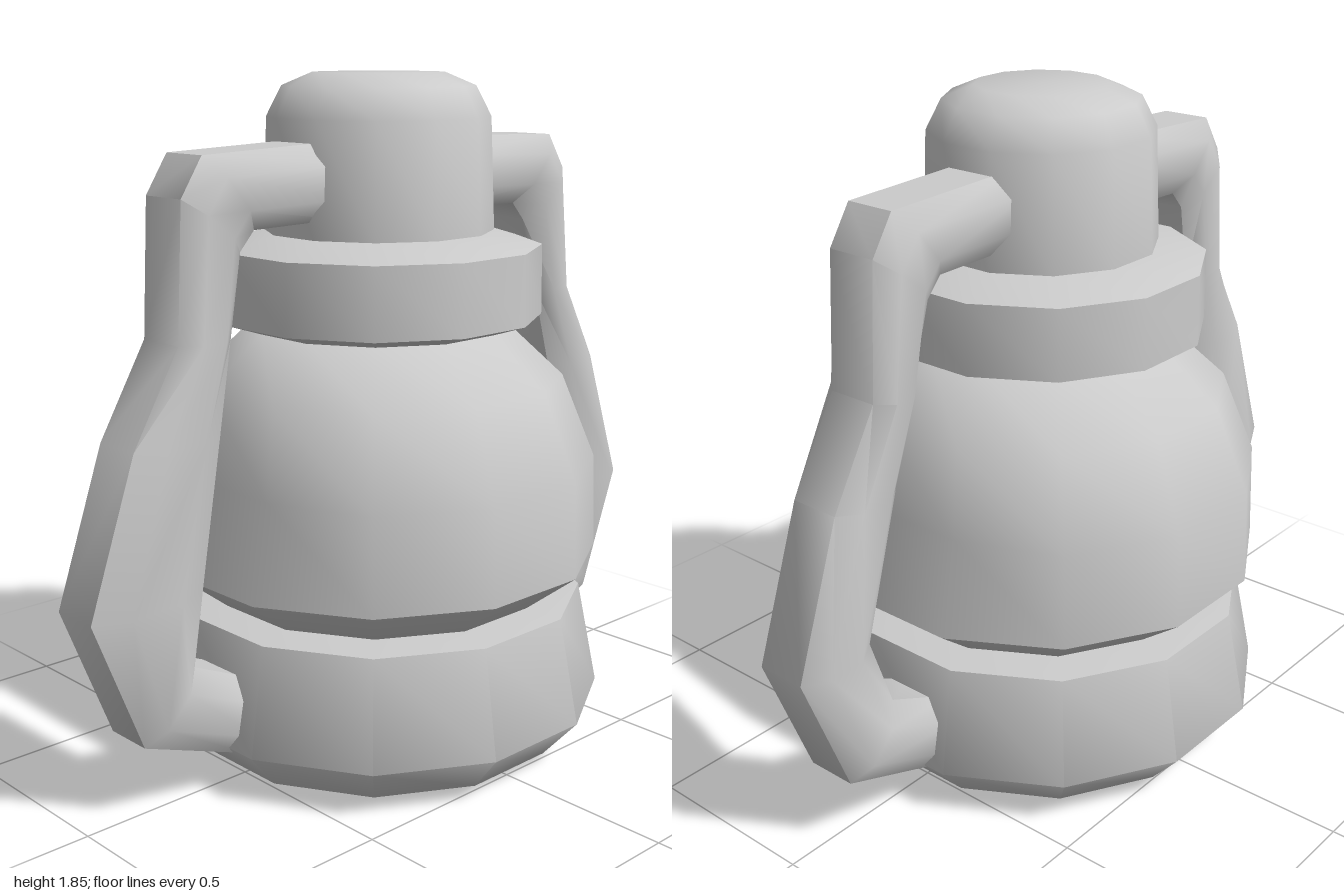
import * as THREE from 'three';
import { toCreasedNormals } from 'three/addons/utils/BufferGeometryUtils.js';

const material = new THREE.MeshStandardMaterial({ color: 0xcccccc });
const CREASE = 0.9;
const SIDES = 12;
// profiles are given at the flat sides, so scale out to the corners
const CORNER = 1 / Math.cos(Math.PI / SIDES);

function addMesh(group, name, geometry) {
  const mesh = new THREE.Mesh(toCreasedNormals(geometry, CREASE), material);
  mesh.name = name;
  group.add(mesh);
}

// twelve-sided turned part, profile listed from bottom to top
function turned(profile) {
  const points = profile.map(([r, y]) => new THREE.Vector2(r * CORNER, y));
  return new THREE.LatheGeometry(points, SIDES, Math.PI / SIDES);
}

// bar lofted through stations of [outer x, outer y, inner x, inner y]
function handleBar(side, stations) {
  // octagonal section: [position from inner (0) to outer (1), z]
  const section = [[1, 0.07], [0.72, 0.113], [0.28, 0.113], [0, 0.07],
    [0, -0.07], [0.28, -0.113], [0.72, -0.113], [1, -0.07]];
  const n = section.length;
  const positions = [];
  const index = [];
  stations.forEach(([ox, oy, ix, iy], s) => {
    for (const [t, z] of section) {
      positions.push(side * (ix + (ox - ix) * t), iy + (oy - iy) * t, z - 0.012);
    }
    if (s === 0) return;
    for (let k = 0; k < n; k++) {
      const a = (s - 1) * n + k, b = (s - 1) * n + (k + 1) % n;
      const c = a + n, d = b + n;
      if (side > 0) index.push(a, b, c, b, d, c);
      else index.push(a, c, b, b, c, d);
    }
  });
  // end caps
  const last = (stations.length - 1) * n;
  for (let k = 1; k < n - 1; k++) {
    if (side > 0) index.push(0, k + 1, k, last, last + k, last + k + 1);
    else index.push(0, k, k + 1, last, last + k + 1, last + k);
  }
  const geometry = new THREE.BufferGeometry();
  geometry.setAttribute('position', new THREE.Float32BufferAttribute(positions, 3));
  geometry.setIndex(index);
  return geometry;
}

export function createModel() {
  const lantern = new THREE.Group();
  lantern.name = 'lantern';

  addMesh(lantern, 'base', turned([
    [0, 0], [0.51, 0.02], [0.605, 0.13], [0.55, 0.42], [0.42, 0.435], [0, 0.435]]));

  // glass globe, flattened beside the handles
  const globe = turned([
    [0.3, 0.42], [0.45, 0.43], [0.588, 0.54], [0.58, 0.8], [0.49, 1.03], [0.34, 1.175], [0.2, 1.19]]);
  const p = globe.attributes.position;
  for (let i = 0; i < p.count; i++) {
    if (Math.abs(p.getY(i) - 0.8) < 0.01 && Math.abs(p.getX(i)) > 0.5) {
      p.setX(i, Math.sign(p.getX(i)) * 0.535);
    }
  }
  addMesh(lantern, 'globe', globe);

  addMesh(lantern, 'collar', turned([
    [0, 1.165], [0.34, 1.17], [0.43, 1.2], [0.428, 1.39], [0.3, 1.43], [0, 1.43]]));

  addMesh(lantern, 'chimney', turned([
    [0.302, 1.42], [0.29, 1.73], [0.25, 1.81], [0.17, 1.845], [0, 1.845]]));

  // side handles from the chimney down to the base
  for (const side of [1, -1]) {
    const inner = side > 0 ? [0.586, 0.656, 0.77] : [0.56, 0.6, 0.667];
    addMesh(lantern, side > 0 ? 'leftHandle' : 'rightHandle', handleBar(side, [
      [0.2, 1.675, 0.2, 1.475],
      [0.635, 1.66, 0.48, 1.47],
      [0.7, 1.56, 0.525, 1.42],
      [0.72, 1.21, inner[0], 1.21],
      [0.86, 0.97, inner[1], 0.97],
      [1.0, 0.57, inner[2], 0.58],
      [0.86, 0.21, 0.7, 0.38],
      [0.54, 0.09, 0.5, 0.29]]));
  }
  return lantern;
}
